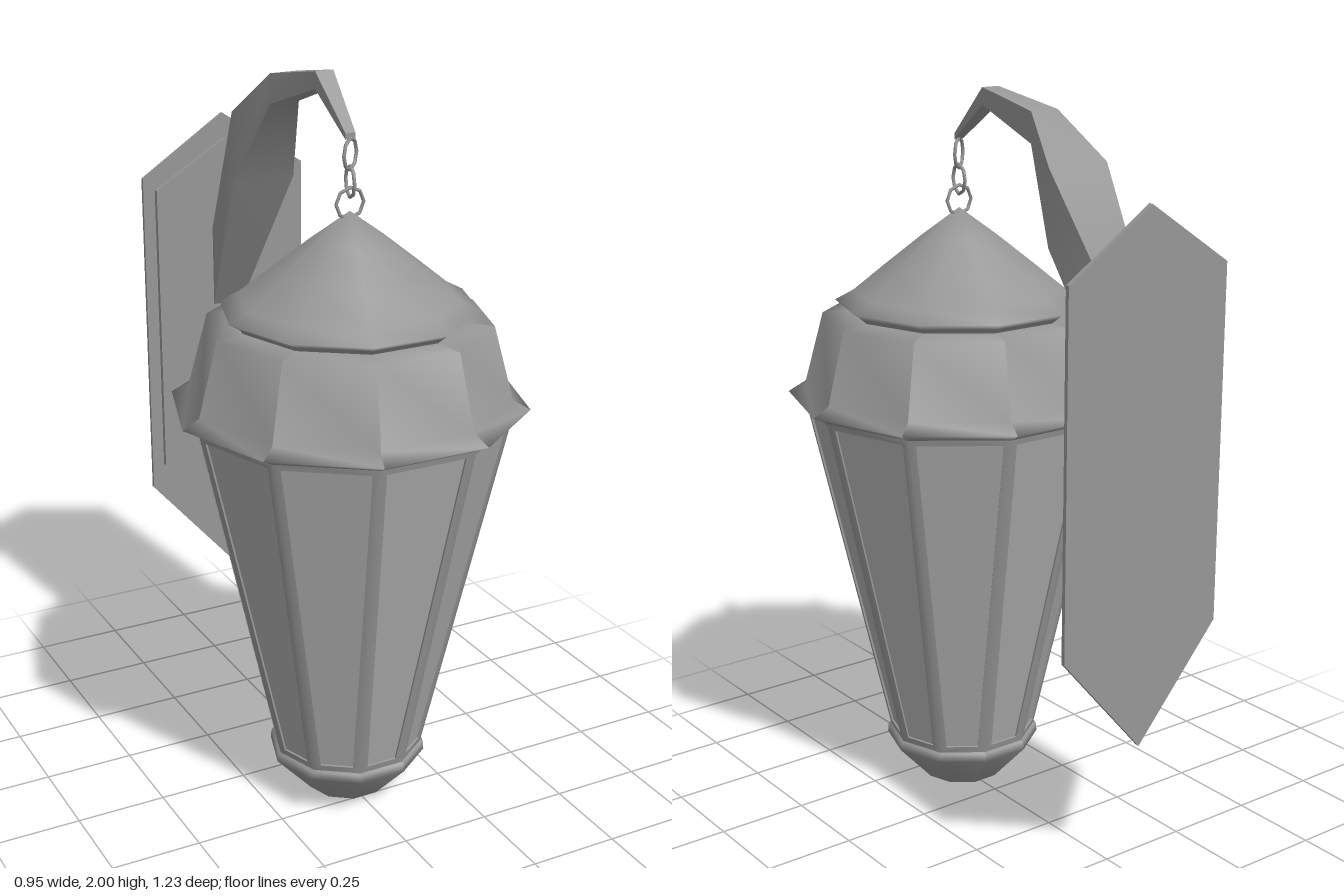
import * as THREE from 'three';
import { mergeGeometries, mergeVertices, toCreasedNormals } from 'three/addons/utils/BufferGeometryUtils.js';

const SIDES = 10;
const STEP = (2 * Math.PI) / SIDES;
const METAL = 0x979797;
const flatMetal = new THREE.MeshStandardMaterial({ color: METAL, flatShading: true });
const smoothMetal = new THREE.MeshStandardMaterial({ color: METAL });
const paneGlass = new THREE.MeshStandardMaterial({ color: 0xadadad, flatShading: true });

function add(parent, name, geometry, material) {
  const mesh = new THREE.Mesh(geometry, material);
  mesh.name = name;
  parent.add(mesh);
  return mesh;
}

const toPoints = (pairs) => pairs.map(([x, y]) => new THREE.Vector2(x, y));

// Ten-sided turned part, rounded in every direction; profile runs bottom to top
function turnedSmooth(profile) {
  const lathe = new THREE.LatheGeometry(toPoints(profile), SIDES, Math.PI / 2);
  lathe.deleteAttribute('uv');
  lathe.deleteAttribute('normal');
  const geometry = mergeVertices(lathe, 1e-4);
  geometry.computeVertexNormals();
  return geometry;
}

// Ten-sided turned part, rounded along its profile but sharp between the sides
function turnedFaceted(profile) {
  const sides = [];
  for (let i = 0; i < SIDES; i++) {
    const side = new THREE.LatheGeometry(toPoints(profile), 1, Math.PI / 2 + i * STEP, STEP);
    side.computeVertexNormals();
    sides.push(side);
  }
  return mergeGeometries(sides);
}

// Long hexagonal plate, pointed at top and bottom
function plate(halfWidth, top, topCorner, bottomCorner, bottom, depth) {
  const shape = new THREE.Shape(toPoints([
    [0, bottom], [halfWidth, bottomCorner], [halfWidth, topCorner],
    [0, top], [-halfWidth, topCorner], [-halfWidth, bottomCorner],
  ]));
  return new THREE.ExtrudeGeometry(shape, { depth, bevelEnabled: false });
}

// Rectangular bar lofted through stations of [z, upper y, lower y, half width]
function loftedBar(stations) {
  const positions = [];
  const index = [];
  stations.forEach(([z, hi, lo, w]) => positions.push(w, lo, z, w, hi, z, -w, hi, z, -w, lo, z));
  for (let s = 0; s < stations.length - 1; s++) {
    for (let k = 0; k < 4; k++) {
      const a = s * 4 + k, b = s * 4 + (k + 1) % 4;
      index.push(a, b, a + 4, b, b + 4, a + 4);
    }
  }
  const e = (stations.length - 1) * 4;
  index.push(0, 2, 1, 0, 3, 2, e, e + 1, e + 2, e, e + 2, e + 3);
  const geometry = new THREE.BufferGeometry();
  geometry.setAttribute('position', new THREE.Float32BufferAttribute(positions, 3));
  geometry.setIndex(index);
  // Smooth along the bends, sharp at the four long edges
  return toCreasedNormals(geometry, Math.PI / 4);
}

// Tapered window frame for one side of the lantern, in its own plane
function frameGeometry(bottomHalf, topHalf, length, depth) {
  const trapezoid = (inset) => toPoints([
    [-bottomHalf + inset, inset], [bottomHalf - inset, inset],
    [topHalf - inset, length - inset], [-topHalf + inset, length - inset],
  ]);
  const shape = new THREE.Shape(trapezoid(0));
  shape.holes.push(new THREE.Path(trapezoid(0.02)));
  const geometry = new THREE.ExtrudeGeometry(shape, { depth, bevelEnabled: false });
  return geometry.translate(0, 0, -depth);
}

export function createModel() {
  const model = new THREE.Group();
  model.name = 'wallLantern';

  // Wall plate in two layers
  add(model, 'backPlate', plate(0.25, 1.78, 1.615, 0.67, 0.38, 0.011), flatMetal).position.z = -0.615;
  add(model, 'frontPlate', plate(0.215, 1.71, 1.58, 0.74, 0.5, 0.016), flatMetal).position.z = -0.605;

  // Hooked arm
  add(model, 'arm', loftedBar([
    [-0.59, 1.45, 1.22, 0.045],
    [-0.34, 1.84, 1.643, 0.092],
    [-0.205, 1.96, 1.88, 0.042],
    [0.02, 2.0, 1.955, 0.026],
    [0.16, 1.868, 1.852, 0.014],
  ]), smoothMetal);

  const lantern = new THREE.Group();
  lantern.name = 'lantern';
  lantern.position.z = 0.16;
  model.add(lantern);

  // Chain of three links
  [[1.815, 0.68], [1.745, 1.35], [1.69, 0]].forEach(([y, turn]) => {
    const link = add(lantern, 'chainLink', new THREE.TorusGeometry(0.04, 0.005, 5, 8), smoothMetal);
    link.position.y = y;
    link.rotation.y = turn;
  });

  // Roof cone running out into a flared eave
  add(lantern, 'roof', turnedSmooth([
    [0.3, 1.385], [0.31, 1.4], [0.34, 1.418], [0.29, 1.445], [0.2, 1.518], [0.1, 1.597], [0, 1.67],
  ]), smoothMetal);

  // Shoulder with a flared lower rim
  add(lantern, 'shoulder', turnedFaceted([
    [0.4, 1.137], [0.43, 1.137], [0.475, 1.16], [0.428, 1.185], [0.375, 1.382], [0.3, 1.39],
  ]), smoothMetal);

  // Glass body
  const low = { r: 0.208, y: 0.15 };
  const high = { r: 0.43, y: 1.14 };
  add(lantern, 'glass', turnedFaceted([[low.r - 0.006, low.y], [high.r - 0.006, high.y]]), paneGlass);

  // A frame round each pane, rounded over the corners between panes
  const apothem = Math.cos(STEP / 2);
  const half = Math.sin(STEP / 2);
  const run = (high.r - low.r) * apothem;
  const rise = high.y - low.y;
  const frame = frameGeometry(low.r * half, high.r * half, Math.hypot(run, rise), 0.006);
  frame.rotateX(Math.atan2(run, rise));
  frame.translate(0, low.y, low.r * apothem);
  const frames = [];
  for (let i = 0; i < SIDES; i++) frames.push(frame.clone().rotateY(i * STEP));
  add(lantern, 'windowFrames', toCreasedNormals(mergeGeometries(frames), Math.PI / 4), smoothMetal);

  // Base cup
  add(lantern, 'base', turnedFaceted([
    [0, 0], [0.09, 0], [0.115, 0.012], [0.218, 0.125], [0.216, 0.148], [0.195, 0.158],
  ]), smoothMetal);

  return model;
}
